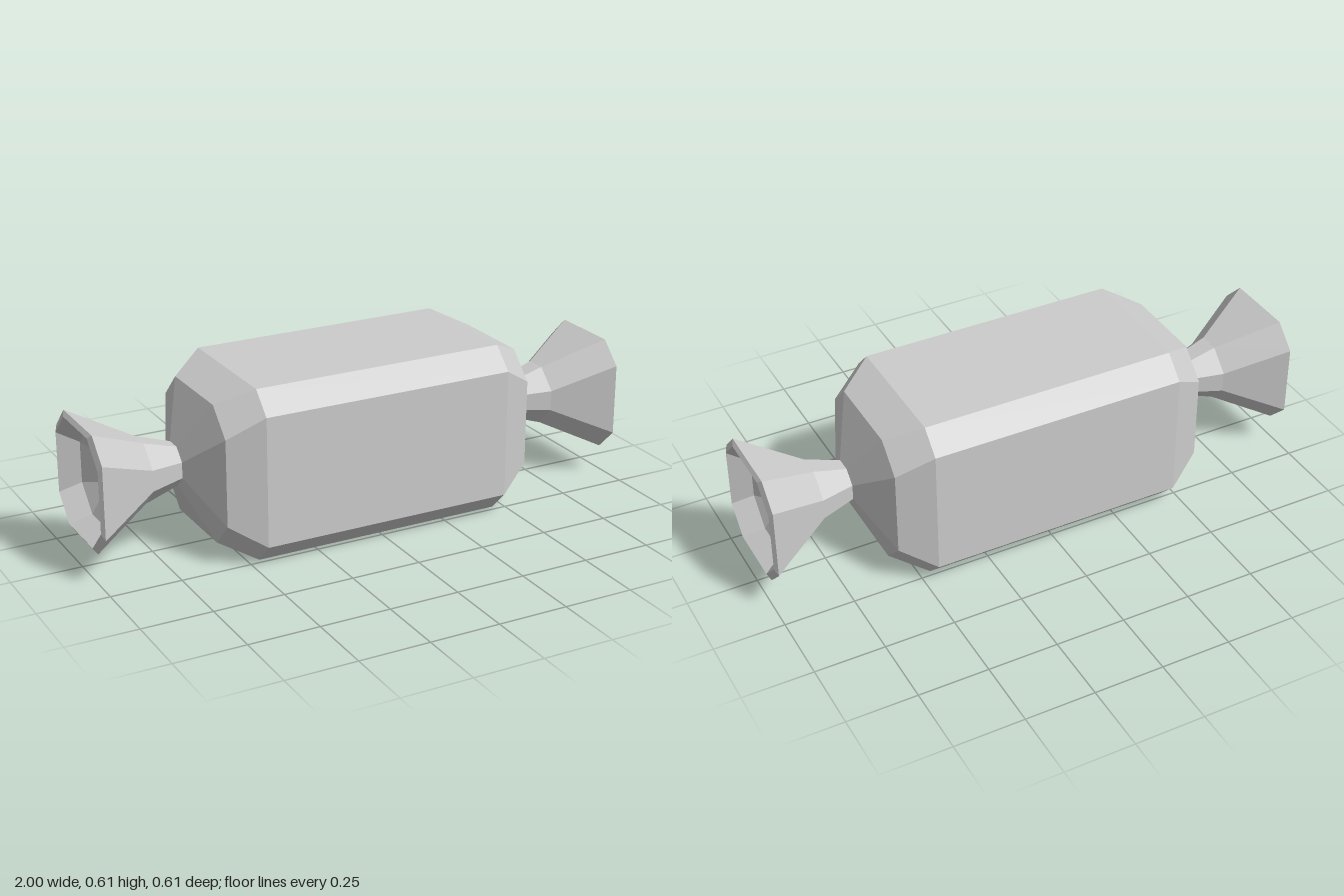
import * as THREE from 'three';

const CENTER_Y = 0.305;

// Chamfered square in the yz plane: h = half size, w = half width of each flat side
function ring([x, h, w]) {
  return [[h, -w], [h, w], [w, h], [-w, h], [-h, w], [-h, -w], [-w, -h], [w, -h]]
    .map(([y, z]) => new THREE.Vector3(x, y, z));
}

// Faceted skin through a list of [x, h, w] sections
function loft(sections) {
  const rings = sections.map(ring);
  const points = [];
  const triangle = (a, b, c) => {
    if (new THREE.Triangle(a, b, c).getArea() > 1e-7) points.push(a, b, c);
  };
  for (let i = 0; i < rings.length - 1; i++) {
    for (let k = 0; k < 8; k++) {
      const n = (k + 1) % 8;
      triangle(rings[i][k], rings[i][n], rings[i + 1][n]);
      triangle(rings[i][k], rings[i + 1][n], rings[i + 1][k]);
    }
  }
  const geometry = new THREE.BufferGeometry().setFromPoints(points);
  geometry.computeVertexNormals();
  return geometry;
}

export function createModel() {
  const model = new THREE.Group();
  model.name = 'wrappedCandy';
  const material = new THREE.MeshStandardMaterial({ color: 0xcccccc, flatShading: true });

  // Chunky body, tapering in two steps towards each neck
  const half = [[0.46, 0.305, 0.23], [0.58, 0.246, 0.154], [0.66, 0.07, 0.028]];
  const mirrored = half.map(([x, h, w]) => [-x, h, w]).reverse();
  const body = new THREE.Mesh(loft([...mirrored, ...half]), material);
  body.name = 'body';
  body.position.y = CENTER_Y;
  model.add(body);

  // Flared wrapper end: neck, flare, bevelled rim, then the hollow inside
  const endGeometry = loft([
    [0.66, 0.07, 0.028],
    [0.78, 0.108, 0.037],
    [0.99, 0.208, 0.129],
    [1.0, 0.193, 0.108],
    [0.93, 0.157, 0.073],
    [0.875, 0.038, 0.038],
    [0.875, 0, 0],
  ]);
  for (const side of ['left', 'right']) {
    const end = new THREE.Mesh(endGeometry, material);
    end.name = side + 'WrapperEnd';
    end.position.y = CENTER_Y;
    if (side === 'right') end.rotation.y = Math.PI;
    model.add(end);
  }
  return model;
}
